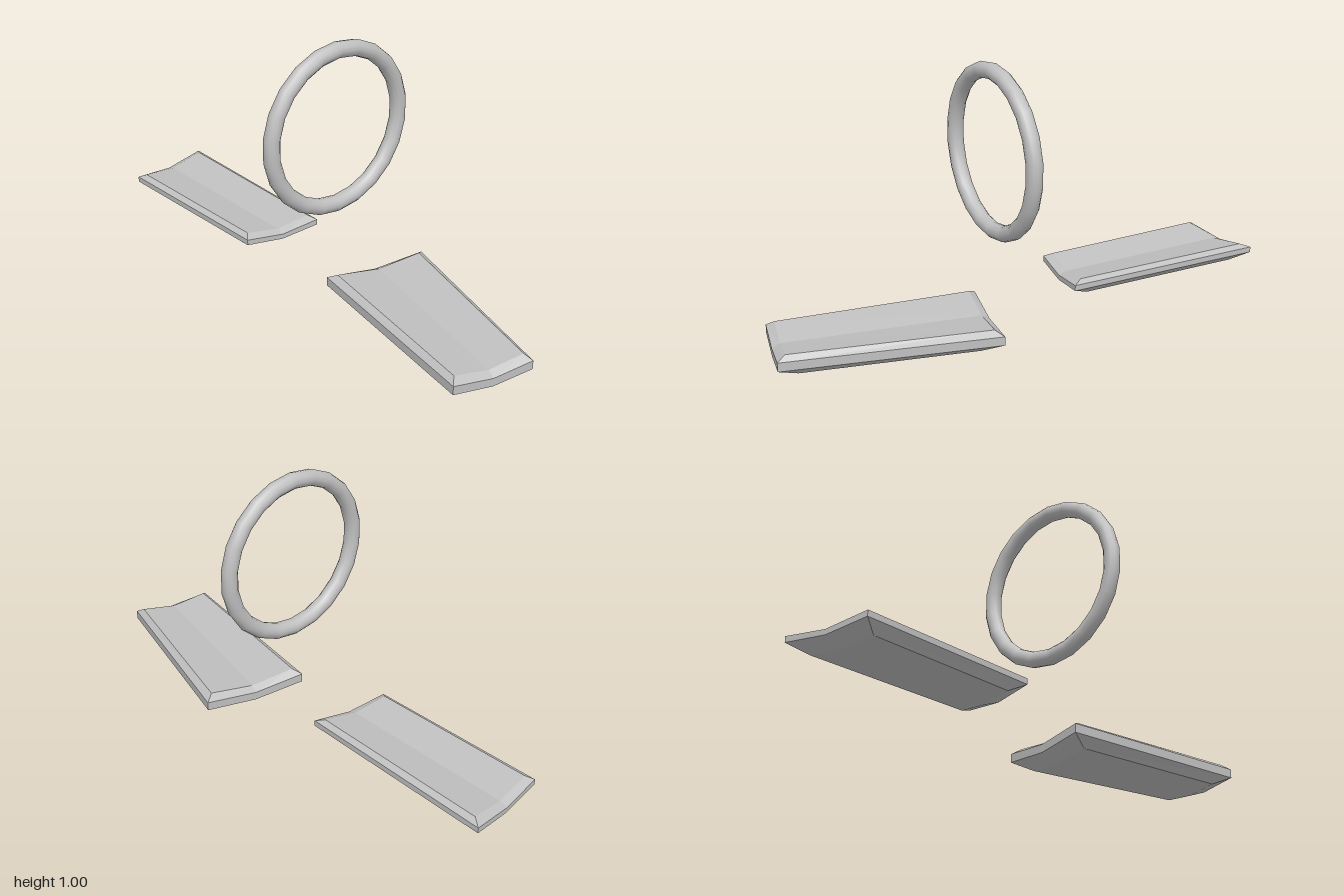
import * as THREE from 'three';

const grey = new THREE.MeshStandardMaterial({ color: 0xc0c0c0 });
grey.name = 'plain grey';

// Bevelled slab with a shallow valley along its length.
// corners: [x, y lift, z] at front -x, front +x, rear +x, rear -x
// levels: [height, side inset, end inset, valley depth] from bottom to top
function makePlate(name, corners, levels) {
  const [a, b, c, d] = corners.map((p) => new THREE.Vector3(...p));
  const halfWidth = a.distanceTo(b) / 2;
  const halfLength = a.distanceTo(d) / 2;
  const ring = [[0, 0], [0.5, 0], [1, 0], [1, 1], [0.5, 1], [0, 1]];

  const rings = levels.map(([y, side, end, dip]) => ring.map(([s, t]) => {
    const u = 0.5 + (s - 0.5) * (1 - side / halfWidth);
    const v = 0.5 + (t - 0.5) * (1 - end / halfLength);
    const p = a.clone().lerp(b, u).lerp(d.clone().lerp(c, u), v);
    p.y += y - (s === 0.5 ? dip : 0);
    return p;
  }));

  const points = [];
  const quad = (p, q, r, s) => [p, q, r, p, r, s].forEach((k) => points.push(k.x, k.y, k.z));

  // bevelled walls
  for (let l = 0; l < rings.length - 1; l++) {
    for (let i = 0; i < 6; i++) {
      const j = (i + 1) % 6;
      quad(rings[l][i], rings[l][j], rings[l + 1][j], rings[l + 1][i]);
    }
  }
  // top and underside, each folded along the middle
  const top = rings[rings.length - 1];
  const low = rings[0];
  quad(top[0], top[1], top[4], top[5]);
  quad(top[1], top[2], top[3], top[4]);
  quad(low[5], low[4], low[1], low[0]);
  quad(low[4], low[3], low[2], low[1]);

  const geometry = new THREE.BufferGeometry();
  geometry.setAttribute('position', new THREE.Float32BufferAttribute(points, 3));
  geometry.computeVertexNormals();
  const mesh = new THREE.Mesh(geometry, grey);
  mesh.name = name;
  return mesh;
}

export function createModel() {
  const model = new THREE.Group();
  model.name = 'ringAndPlates';

  // upright ring
  const ring = new THREE.Mesh(new THREE.TorusGeometry(0.304, 0.031, 12, 22), grey);
  ring.name = 'ring';
  ring.rotation.z = Math.PI / 2;
  ring.position.set(0, 0.666, 0.1);
  model.add(ring);

  // front plate
  model.add(makePlate('frontPlate',
    [[-0.21, 0, 0.93], [0.105, 0, 1], [0.325, 0.01, 0.23], [-0.08, 0.01, 0.14]],
    [[0.014, 0.035, 0.075, 0.014], [0.046, 0, 0, 0.018],
      [0.08, 0, 0, 0.02], [0.098, 0.022, 0.03, 0.022]]));

  // rear plate
  model.add(makePlate('rearPlate',
    [[-0.175, 0, -0.22], [0.14, 0, -0.175], [0.155, 0, -1], [-0.19, 0, -0.955]],
    [[0.076, 0.035, 0.065, 0.014], [0.108, 0, 0, 0.018],
      [0.13, 0, 0, 0.02], [0.143, 0.022, 0.03, 0.022]]));

  return model;
}
